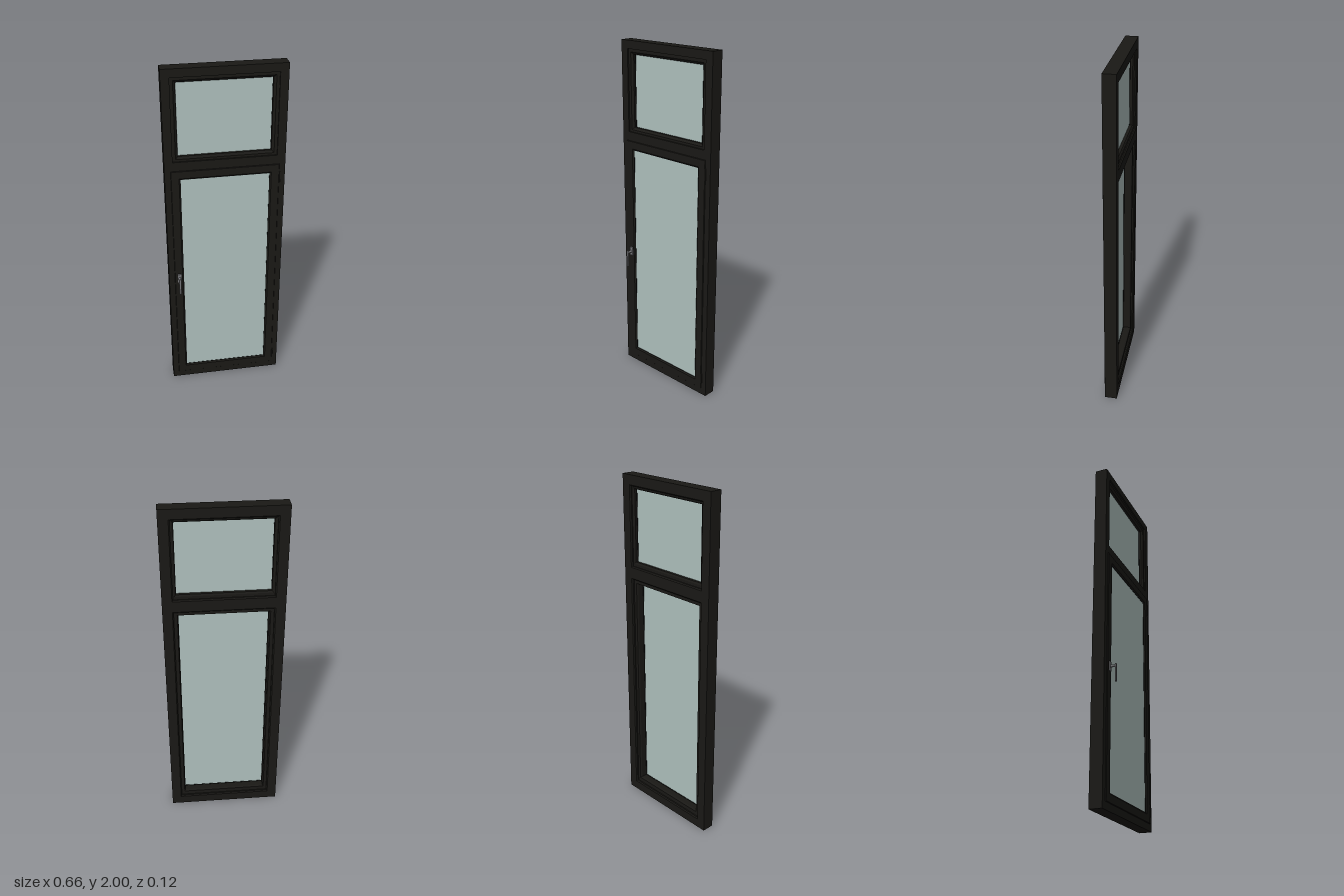
import * as THREE from 'three';

const dark = new THREE.MeshStandardMaterial({ color: 0x1a1916 });
const rubber = new THREE.MeshStandardMaterial({ color: 0x0c0c0b });
const glass = new THREE.MeshStandardMaterial({ color: 0xb0c2bf });
const metal = new THREE.MeshStandardMaterial({ color: 0x77777a });

function add(parent, name, geometry, material, x = 0, y = 0, z = 0) {
  const mesh = new THREE.Mesh(geometry, material);
  mesh.name = name;
  mesh.position.set(x, y, z);
  parent.add(mesh);
  return mesh;
}

function box(parent, name, material, x0, x1, y0, y1, z0, z1) {
  return add(parent, name, new THREE.BoxGeometry(x1 - x0, y1 - y0, z1 - z0), material,
    (x0 + x1) / 2, (y0 + y1) / 2, (z0 + z1) / 2);
}

// Mitred rectangular frame: a closed profile of [inset, z] points, running from the
// outer back edge to the outer front edge and round the inside, swept round the rectangle
function frame(parent, name, material, halfW, y0, y1, profile) {
  const pos = [];
  const corner = (k, [d, z]) => [
    (k === 0 || k === 3 ? -1 : 1) * (halfW - d),
    k < 2 ? y0 + d : y1 - d,
    z,
  ];
  for (let k = 0; k < 4; k++) {
    const n = (k + 1) % 4;
    profile.forEach((p, i) => {
      const q = profile[(i + 1) % profile.length];
      const a = corner(k, p), b = corner(n, p), c = corner(n, q), d = corner(k, q);
      pos.push(...a, ...b, ...c, ...a, ...c, ...d);
    });
  }
  const geometry = new THREE.BufferGeometry();
  geometry.setAttribute('position', new THREE.Float32BufferAttribute(pos, 3));
  geometry.computeVertexNormals();
  return add(parent, name, geometry, material);
}

// Bar with a [y, z] cross-section running along x
function bar(parent, name, material, halfW, section) {
  const shape = new THREE.Shape(section.map(([y, z]) => new THREE.Vector2(-z, y)));
  const geometry = new THREE.ExtrudeGeometry(shape, { depth: halfW * 2, bevelEnabled: false });
  geometry.rotateY(Math.PI / 2);
  return add(parent, name, geometry, material, -halfW);
}

export function createModel() {
  const model = new THREE.Group();
  model.name = 'window';

  // Fixed outer frame with a rebate for the sash, and the transom
  frame(model, 'outerFrame', dark, 0.33, 0, 2, [
    [0, -0.06], [0, 0.012], [0.046, 0.012], [0.046, -0.03], [0.06, -0.03], [0.06, -0.054], [0.054, -0.06],
  ]);
  bar(model, 'transom', dark, 0.285, [
    [1.428, 0.012], [1.49, 0.012], [1.49, -0.054], [1.484, -0.06],
    [1.42, -0.06], [1.414, -0.054], [1.414, -0.03], [1.428, -0.03],
  ]);

  // Fixed upper light
  const upper = new THREE.Group();
  upper.name = 'upperLight';
  model.add(upper);
  frame(upper, 'upperGlazingBead', dark, 0.285, 1.485, 1.955, [
    [0, -0.048], [0, 0.004], [0.018, 0.004], [0.031, -0.006], [0.031, -0.042], [0.022, -0.048],
  ]);
  frame(upper, 'upperGasket', rubber, 0.256, 1.507, 1.928, [
    [0, -0.03], [0, -0.016], [0.004, -0.018], [0.004, -0.028],
  ]);
  box(upper, 'upperGlass', glass, -0.255, 0.255, 1.508, 1.927, -0.026, -0.02);

  // Opening lower sash, lapping over the front of the outer frame
  const sash = new THREE.Group();
  sash.name = 'lowerSash';
  model.add(sash);
  frame(sash, 'sashFrame', dark, 0.297, 0.04, 1.438, [
    [0, 0.0115], [0, 0.015], [0.002, 0.017], [0.044, 0.017], [0.051, 0.011], [0.051, -0.036],
    [0.046, -0.046], [0.016, -0.046], [0.016, 0.0115],
  ]);
  frame(sash, 'sashGasket', rubber, 0.247, 0.09, 1.388, [
    [0, -0.002], [0, 0.012], [0.003, 0.01], [0.003, 0],
  ]);
  box(sash, 'lowerGlass', glass, -0.247, 0.247, 0.09, 1.388, 0.002, 0.008);

  // Hinges on the left edge of the sash
  for (const y of [0.11, 1.36]) {
    const hinge = new THREE.Group();
    hinge.name = 'hinge';
    hinge.position.set(0.299, y, 0.0155);
    sash.add(hinge);
    add(hinge, 'hingeBarrel', new THREE.CylinderGeometry(0.004, 0.004, 0.06, 16), dark);
    for (const s of [-1, 1])
      add(hinge, 'hingeCap', new THREE.SphereGeometry(0.004, 12, 8), dark, 0, s * 0.03, 0);
  }

  // Lever handle on the right stile
  const handle = new THREE.Group();
  handle.name = 'handle';
  handle.position.set(-0.271, 0, 0);
  sash.add(handle);
  box(handle, 'handlePlate', metal, -0.01, 0.01, 0.728, 0.78, 0.017, 0.024);
  const neck = add(handle, 'handleNeck',
    new THREE.CylinderGeometry(0.006, 0.008, 0.03, 20), metal, 0, 0.754, 0.038);
  neck.rotation.x = Math.PI / 2;

  // Lever tapers in plan towards its outer face
  const lever = new THREE.Shape();
  lever.moveTo(-0.006, 0.762);
  lever.quadraticCurveTo(0, 0.768, 0.006, 0.762);
  lever.lineTo(0.005, 0.668);
  lever.quadraticCurveTo(0, 0.658, -0.005, 0.668);
  lever.closePath();
  add(handle, 'handleLever', new THREE.ExtrudeGeometry(lever, {
    depth: 0.004, bevelEnabled: true, bevelSize: 0.001, bevelThickness: 0.002, bevelSegments: 2, curveSegments: 10,
  }), metal, 0, 0, 0.051);

  return model;
}
